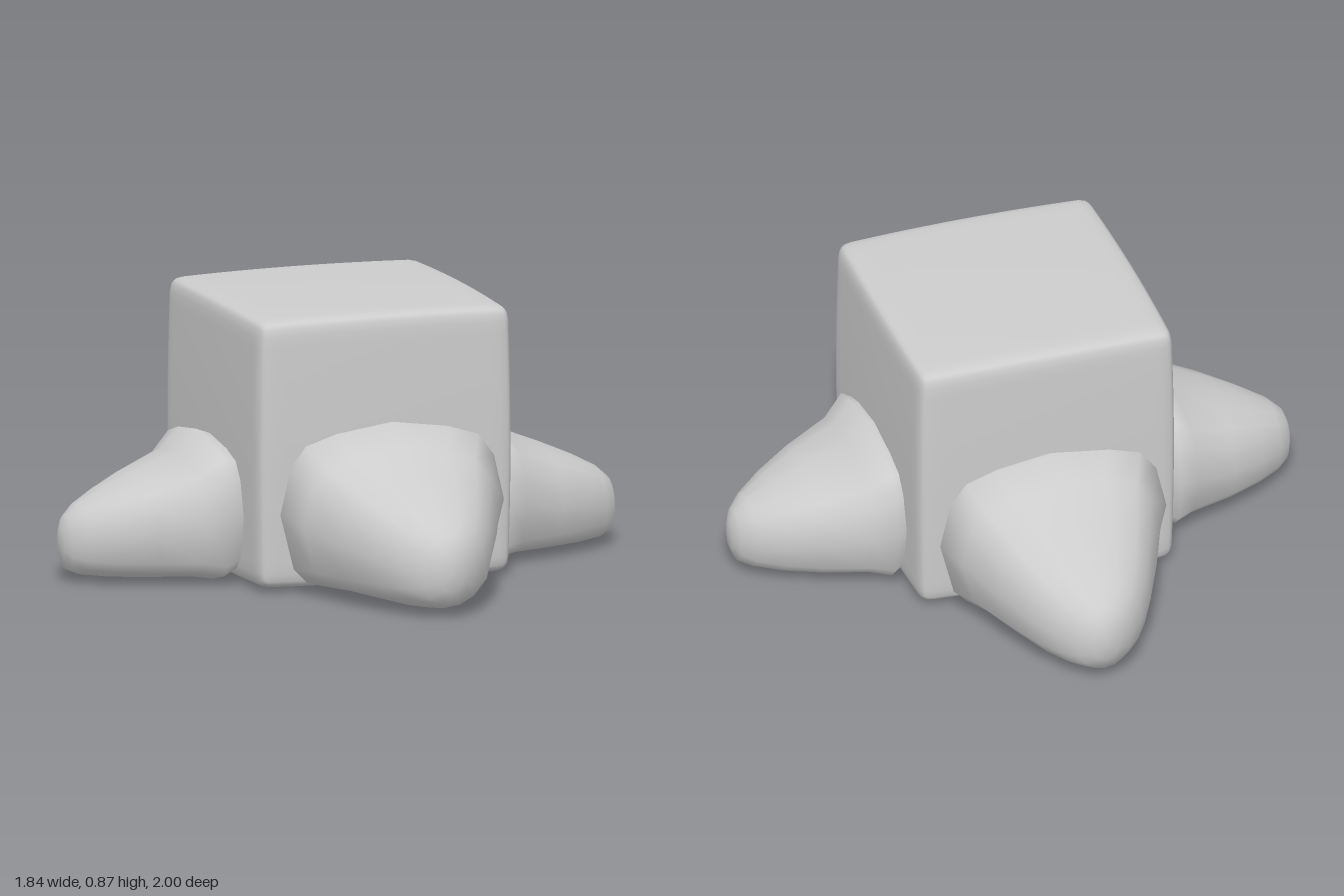
import * as THREE from 'three';
import { mergeVertices } from 'three/addons/utils/BufferGeometryUtils.js';

// Rounded cube whose faces and edges swell slightly outwards
function bulgedBox(w, h, d, r, bulge) {
  const n = 20;
  let g = new THREE.BoxGeometry(2, 2, 2, n, n, n);
  g.deleteAttribute('uv');
  g.deleteAttribute('normal');
  g = mergeVertices(g);
  const half = new THREE.Vector3(w / 2 - bulge, h / 2 - bulge, d / 2 - bulge);
  const inner = half.clone().subScalar(r);
  const pos = g.attributes.position;
  const p = new THREE.Vector3(), c = new THREE.Vector3(), q = new THREE.Vector3();
  const spread = (v) => Math.sin((v * Math.PI) / 2); // crowd the grid towards the edges
  for (let i = 0; i < pos.count; i++) {
    p.fromBufferAttribute(pos, i);
    p.set(spread(p.x), spread(p.y), spread(p.z)).multiply(half);
    c.copy(p).clamp(inner.clone().negate(), inner);
    p.sub(c).setLength(r).add(c);
    q.copy(p).divide(half);
    p.x += q.x * bulge * (1 - 0.45 * (q.y * q.y + q.z * q.z));
    p.y += q.y * bulge * (1 - 0.45 * (q.x * q.x + q.z * q.z));
    p.z += q.z * bulge * (1 - 0.45 * (q.x * q.x + q.y * q.y));
    pos.setXYZ(i, p.x, p.y, p.z);
  }
  g.computeVertexNormals();
  return g;
}

// Right half of the foot cross-section at its root, bottom to top: [side, height]
const rootHalf = [[0, 0.01], [0.45, 0.02], [0.76, 0.075], [0.88, 0.16], [1, 0.49],
  [0.91, 0.76], [0.77, 0.89], [0.5, 0.95], [0, 1]];

// Foot lofted along +z through stations [distance, half width, top, bottom]
function footGeometry(stations, tip) {
  const verts = [], index = [];
  const section = [...rootHalf, ...rootHalf.slice(1, -1).reverse().map(([s, v]) => [-s, v])];
  const n = section.length;
  stations.forEach(([dist, half, top, bottom], i) => {
    const t = Math.max(0, (i - 1) / (stations.length - 2));
    section.forEach(([s, v], j) => {
      const a = -Math.PI / 2 + (j / n) * Math.PI * 2;
      const side = THREE.MathUtils.lerp(s, Math.cos(a), t);
      const up = THREE.MathUtils.lerp(v, 0.5 + 0.5 * Math.sin(a), t);
      verts.push(side * half, bottom + up * (top - bottom), dist);
    });
  });
  for (let i = 0; i < stations.length - 1; i++) {
    for (let j = 0; j < n; j++) {
      const a = i * n + j, b = i * n + ((j + 1) % n);
      index.push(a, b, b + n, a, b + n, a + n);
    }
  }
  // Rounded tip
  const last = (stations.length - 1) * n;
  verts.push(0, tip[1], tip[0]);
  for (let j = 0; j < n; j++) index.push(last + j, last + ((j + 1) % n), last + n);
  const g = new THREE.BufferGeometry();
  g.setAttribute('position', new THREE.Float32BufferAttribute(verts, 3));
  g.setIndex(index);
  g.computeVertexNormals();
  return g;
}

export function createModel() {
  const model = new THREE.Group();
  const grey = new THREE.MeshStandardMaterial({ color: 0xcccccc });
  grey.name = 'plain grey';

  const add = (name, geometry, x, y, turn) => {
    const mesh = new THREE.Mesh(geometry, grey);
    mesh.name = name;
    mesh.position.set(x, y, 0);
    mesh.rotation.y = turn;
    model.add(mesh);
  };

  // Body
  add('body', bulgedBox(0.86, 0.87, 0.865, 0.04, 0.016), 0.01, 0.441, 0);

  // Large feet, front and back
  const large = footGeometry([
    [0.4, 0.31, 0.49, 0.03], [0.47, 0.372, 0.535, 0.003], [0.55, 0.325, 0.465, 0.008],
    [0.7, 0.262, 0.4, 0.012], [0.84, 0.195, 0.345, 0.018], [0.92, 0.14, 0.3, 0.026],
    [0.97, 0.088, 0.26, 0.045], [0.994, 0.045, 0.215, 0.09],
  ], [1, 0.15]);
  add('frontFoot', large, 0.01, 0, 0);
  add('backFoot', large, 0.01, 0, Math.PI);

  // Smaller feet, left and right
  const small = footGeometry([
    [0.39, 0.27, 0.43, 0.03], [0.465, 0.322, 0.458, 0], [0.53, 0.285, 0.395, 0.008],
    [0.67, 0.235, 0.34, 0.012], [0.78, 0.175, 0.292, 0.016], [0.86, 0.115, 0.25, 0.024],
    [0.9, 0.072, 0.215, 0.042], [0.916, 0.035, 0.175, 0.08],
  ], [0.92, 0.13]);
  add('leftFoot', small, 0, 0, Math.PI / 2);
  add('rightFoot', small, 0, 0, -Math.PI / 2);

  return model;
}
